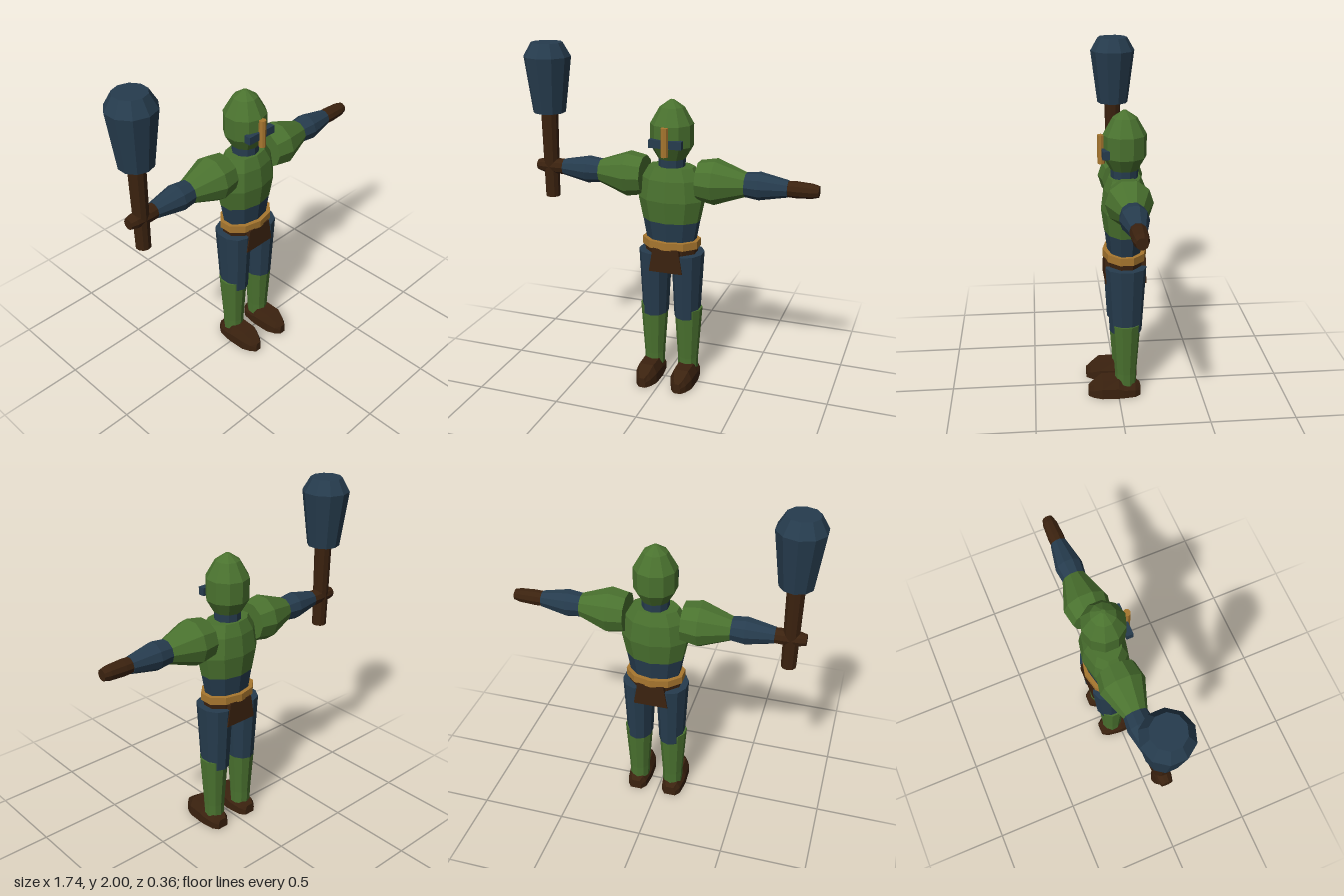
import * as THREE from 'three';

const CX = 0.025, CZ = -0.045; // body axis
const SIDES = 10;

const paint = (name, color) => {
  const m = new THREE.MeshStandardMaterial({ color });
  m.name = name;
  m.flatShading = true;
  return m;
};

// Faceted solid of revolution; profile is [height, radius] from bottom to top
function turned(profile, sx = 1, sz = 1, sides = SIDES) {
  const pts = profile.map(([h, r]) => new THREE.Vector2(r, h));
  pts.unshift(new THREE.Vector2(0, profile[0][0]));
  pts.push(new THREE.Vector2(0, profile[profile.length - 1][0]));
  return new THREE.LatheGeometry(pts, sides).scale(sx, 1, sz);
}

// Boot: hexagonal sections [z, half width, height] from heel to toe
function bootGeometry() {
  const sections = [
    [-0.132, 0.035, 0.06], [-0.1, 0.058, 0.08], [-0.03, 0.068, 0.095],
    [0.0, 0.07, 0.115], [0.1, 0.066, 0.115], [0.15, 0.045, 0.08], [0.18, 0.02, 0.06],
  ];
  const pos = [], index = [], n = 6;
  for (const [z, w, h] of sections) {
    pos.push(w, 0, z, w, h * 0.55, z, w * 0.66, h, z);
    pos.push(-w * 0.66, h, z, -w, h * 0.55, z, -w, 0, z);
  }
  for (let i = 0; i < sections.length - 1; i++) {
    for (let j = 0; j < n; j++) {
      const a = i * n + j, b = i * n + (j + 1) % n;
      index.push(a, b, a + n, b, b + n, a + n);
    }
  }
  const last = (sections.length - 1) * n;
  for (let j = 1; j < n - 1; j++) {
    index.push(last, last + j, last + j + 1); // toe cap
    index.push(0, j + 1, j); // heel cap
  }
  const g = new THREE.BufferGeometry();
  g.setAttribute('position', new THREE.Float32BufferAttribute(pos, 3));
  g.setIndex(index);
  g.computeVertexNormals();
  return g;
}

export function createModel() {
  const model = new THREE.Group();
  model.name = 'armouredFigure';
  const green = paint('greenArmour', 0x4a722f);
  const blue = paint('darkBlueCloth', 0x263c4e);
  const brown = paint('brownLeather', 0x3b220f);
  const gold = paint('goldTrim', 0xa8772f);

  const add = (name, geometry, material, x = CX, y = 0, z = CZ) => {
    const mesh = new THREE.Mesh(geometry, material);
    mesh.name = name;
    mesh.position.set(x, y, z);
    model.add(mesh);
    return mesh;
  };

  // Helmet and neck
  add('helmet', turned([[1.385, 0.08], [1.46, 0.124], [1.585, 0.124], [1.68, 0.07], [1.72, 0.012]]), green);
  add('neck', turned([[1.3, 0.078], [1.42, 0.078]]), blue);
  add('eyeSlit', new THREE.BoxGeometry(0.192, 0.046, 0.04), blue, CX, 1.488, 0.066);
  add('noseGuard', new THREE.CylinderGeometry(0.021, 0.021, 0.165, 8), gold, CX, 1.502, 0.087);

  // Torso, oval in plan
  const wide = 1.05;
  add('chestPlate', turned([[1.02, 0.165], [1.15, 0.19], [1.27, 0.17], [1.34, 0.13]], wide, 0.71), green);
  add('waist', turned([[0.88, 0.14], [1.02, 0.164]], wide, 0.7), blue);
  add('belt', turned([[0.86, 0.167], [0.905, 0.167]], wide, 0.76), gold);
  add('hips', turned([[0.82, 0.15], [0.87, 0.155]], wide, 0.73), brown);

  // Loincloth, flared toward the hem
  const cloth = new THREE.Shape();
  cloth.moveTo(-0.102, 0.72);
  cloth.lineTo(0.102, 0.72);
  cloth.lineTo(0.078, 0.865);
  cloth.lineTo(-0.078, 0.865);
  cloth.closePath();
  const clothGeometry = new THREE.ExtrudeGeometry(cloth, { depth: 0.238, bevelEnabled: false });
  add('loincloth', clothGeometry.translate(0, 0, -0.119), brown);

  // Arms and legs, mirrored about the body axis
  for (const side of [1, -1]) {
    const label = side > 0 ? 'left' : 'right';
    const arm = (name, profile, material) => {
      const g = turned(profile).rotateZ(-side * Math.PI / 2);
      add(label + name, g, material, CX, 1.268, CZ);
    };
    arm('ShoulderGuard', [[0.165, 0.115], [0.263, 0.133], [0.438, 0.07]], green);
    arm('Forearm', [[0.436, 0.07], [0.517, 0.08], [0.677, 0.048]], blue);
    arm('Hand', [[0.675, 0.045], [0.72, 0.047], [0.81, 0.042], [0.848, 0.032]], brown);

    const leg = (name, profile, sx, sz, material) =>
      add(label + name, turned(profile, sx, sz), material, CX + side * 0.107, 0, CZ);
    leg('Thigh', [[0.42, 0.074], [0.825, 0.093]], 1.03, 1.3 * 0.98, blue).position.x = CX + side * 0.1;
    leg('Greave', [[0.07, 0.06], [0.15, 0.062], [0.472, 0.084]], 1, 1.04, green);
    add(label + 'Boot', bootGeometry(), brown, CX + side * 0.111, 0, 0);
  }

  // Mace in the right hand
  add('maceHandle', turned([[1.08, 0.043], [1.62, 0.051]]), brown, -0.738);
  add('maceHead', turned([[1.595, 0.096], [1.92, 0.138], [2, 0.092]]), blue, -0.738);

  return model;
}
